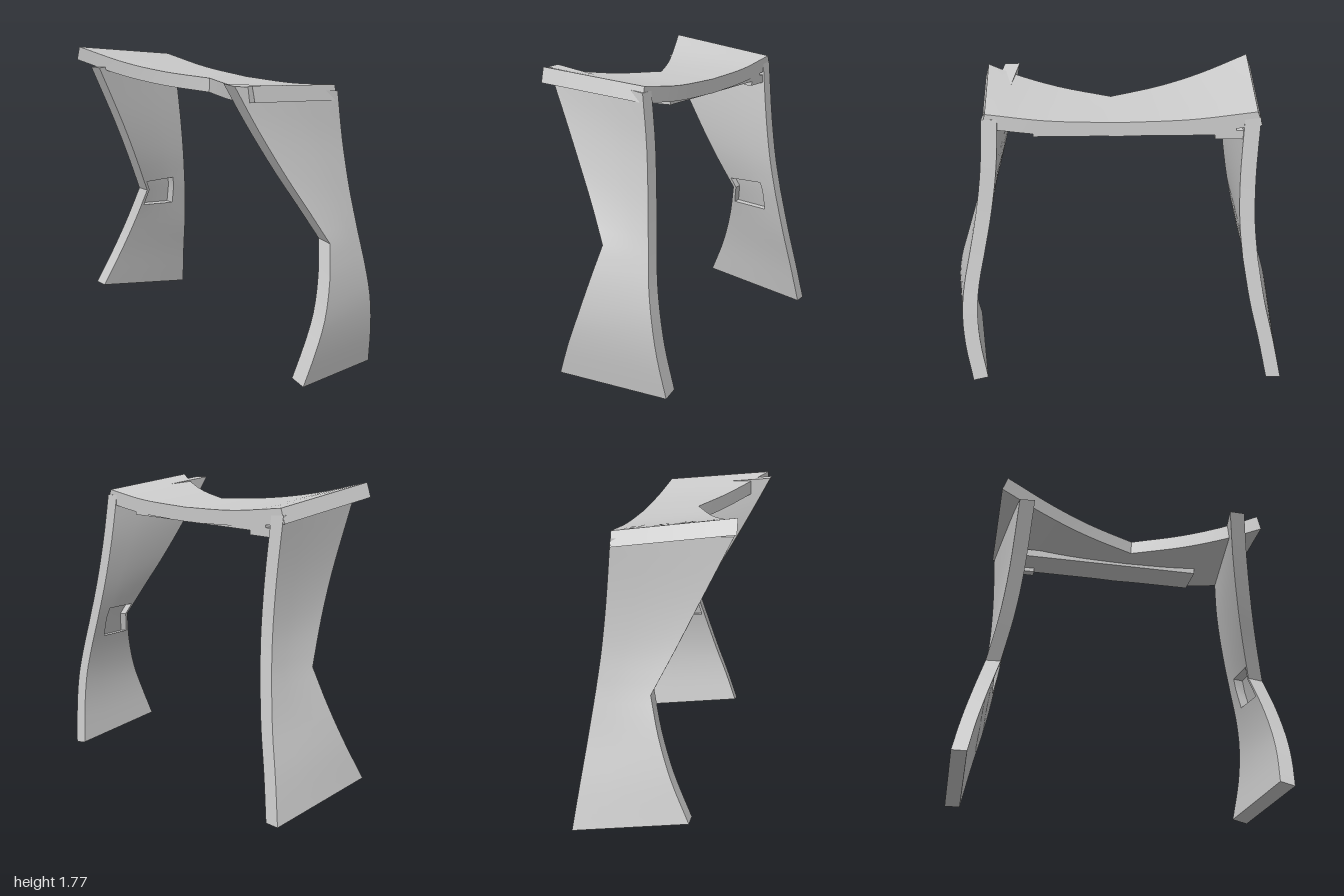
import * as THREE from 'three';
import { toCreasedNormals } from 'three/addons/utils/BufferGeometryUtils.js';

const STEPS = 12; // rows in each half of an edge

// Smooth edge made of two curves that meet at a kink
function edge(first, second) {
  const sample = pts => new THREE.CatmullRomCurve3(
    pts.map(p => new THREE.Vector3(...p)), false, 'centripetal').getPoints(STEPS);
  return [...sample(first), ...sample(second).slice(1)];
}

// Curved slab between a front and a back edge. The second skin is offset by a
// vector that changes from off0 to off1; a pocket may be sunk into that skin.
function slab(front, back, off0, off1, flip, pocket) {
  const cols = [0, 0.06, 0.25, 0.5, 0.7, 1];
  const n = front.length - 1, m = cols.length - 1;
  const a = new THREE.Vector3(...off0), b = new THREE.Vector3(...off1);
  const pos = [];
  const at = (i, j, depth) => front[i].clone().lerp(back[i], cols[j])
    .addScaledVector(a.clone().lerp(b, i / n), depth);
  const quad = (p, q, r, s) => {
    const c = flip ? [s, r, q, p] : [p, q, r, s];
    for (const k of [0, 1, 2, 0, 2, 3]) pos.push(c[k].x, c[k].y, c[k].z);
  };
  const inPocket = (i, j) => pocket && i >= pocket.i0 && i < pocket.i1 && j >= pocket.j0 && j < pocket.j1;

  for (let i = 0; i < n; i++) {
    for (let j = 0; j < m; j++) {
      const d = inPocket(i, j) ? pocket.depth : 1;
      quad(at(i, j, 0), at(i + 1, j, 0), at(i + 1, j + 1, 0), at(i, j + 1, 0));
      quad(at(i, j + 1, d), at(i + 1, j + 1, d), at(i + 1, j, d), at(i, j, d));
      // Pocket walls
      if (d < 1) {
        const wall = (i1, j1, i2, j2) => quad(at(i1, j1, 1), at(i2, j2, 1), at(i2, j2, d), at(i1, j1, d));
        if (!inPocket(i - 1, j)) wall(i, j, i, j + 1);
        if (!inPocket(i + 1, j)) wall(i + 1, j + 1, i + 1, j);
        if (!inPocket(i, j - 1)) wall(i + 1, j, i, j);
        if (!inPocket(i, j + 1)) wall(i, j + 1, i + 1, j + 1);
      }
    }
    // Long rims
    quad(at(i, 0, 1), at(i + 1, 0, 1), at(i + 1, 0, 0), at(i, 0, 0));
    quad(at(i, m, 0), at(i + 1, m, 0), at(i + 1, m, 1), at(i, m, 1));
  }
  // End caps
  for (let j = 0; j < m; j++) {
    quad(at(0, j, 0), at(0, j + 1, 0), at(0, j + 1, 1), at(0, j, 1));
    quad(at(n, j, 1), at(n, j + 1, 1), at(n, j + 1, 0), at(n, j, 0));
  }
  const geo = new THREE.BufferGeometry();
  geo.setAttribute('position', new THREE.Float32BufferAttribute(pos, 3));
  return toCreasedNormals(geo, 0.45);
}

export function createModel() {
  const group = new THREE.Group();
  const grey = new THREE.MeshStandardMaterial({ color: 0xcccccc });
  grey.name = 'light grey';
  const add = (name, geo) => {
    const mesh = new THREE.Mesh(geo, grey);
    mesh.name = name;
    group.add(mesh);
    return mesh;
  };
  const pocket = { i0: STEPS - 2, i1: STEPS + 1, j0: 1, j1: 4, depth: 0.35 };

  // Seat: sagging panel with a notched front edge
  add('seat', slab(
    edge([[-0.79, 1.768, 0.435], [-0.5, 1.695, 0.31], [-0.25, 1.658, 0.2], [0.04, 1.642, 0.08]],
      [[0.04, 1.642, 0.08], [0.35, 1.66, 0.2], [0.6, 1.695, 0.31], [0.77, 1.73, 0.4]]),
    edge([[-0.775, 1.668, -0.235], [-0.4, 1.627, -0.24], [0, 1.613, -0.24]],
      [[0, 1.613, -0.24], [0.4, 1.627, -0.24], [0.745, 1.665, -0.23]]),
    [-0.03, -0.082, 0], [0.022, -0.085, 0], false));

  // Left leg: outer skin edges, bottom to top
  add('leftLeg', slab(
    edge([[0.98, 0.06, 0.19], [0.998, 0.25, 0.12], [0.998, 0.42, 0.055], [0.965, 0.63, -0.01], [0.91, 0.82, -0.06]],
      [[0.91, 0.82, -0.06], [0.845, 1.02, 0.05], [0.79, 1.2, 0.155], [0.72, 1.48, 0.31], [0.675, 1.718, 0.435]]),
    edge([[0.89, 0.005, -0.44], [0.928, 0.25, -0.405], [0.935, 0.45, -0.378], [0.915, 0.63, -0.35], [0.875, 0.82, -0.325]],
      [[0.875, 0.82, -0.325], [0.825, 1.07, -0.295], [0.785, 1.35, -0.265], [0.768, 1.632, -0.232]]),
    [-0.09, 0.022, 0], [-0.09, 0.003, 0], true, pocket));

  // Right leg: bends the other way at the foot
  add('rightLeg', slab(
    edge([[-1, 0.12, 0.225], [-0.95, 0.35, 0.115], [-0.89, 0.57, 0.035], [-0.825, 0.78, -0.02]],
      [[-0.825, 0.78, -0.02], [-0.768, 1.03, 0.105], [-0.735, 1.27, 0.22], [-0.71, 1.65, 0.405]]),
    edge([[-0.985, 0, -0.44], [-0.93, 0.25, -0.405], [-0.868, 0.5, -0.37], [-0.815, 0.78, -0.33]],
      [[-0.815, 0.78, -0.33], [-0.79, 1.0, -0.3], [-0.782, 1.27, -0.27], [-0.795, 1.63, -0.235]]),
    [0.088, 0, 0], [0.09, 0.005, 0], false, pocket));

  // Flat stiffener and small block under the back of the seat
  add('seatStiffener', new THREE.BoxGeometry(1.14, 0.045, 0.2)).position.set(-0.09, 1.5525, -0.135);
  add('seatBlock', new THREE.BoxGeometry(0.16, 0.05, 0.05)).position.set(-0.62, 1.53, -0.21);

  return group;
}
